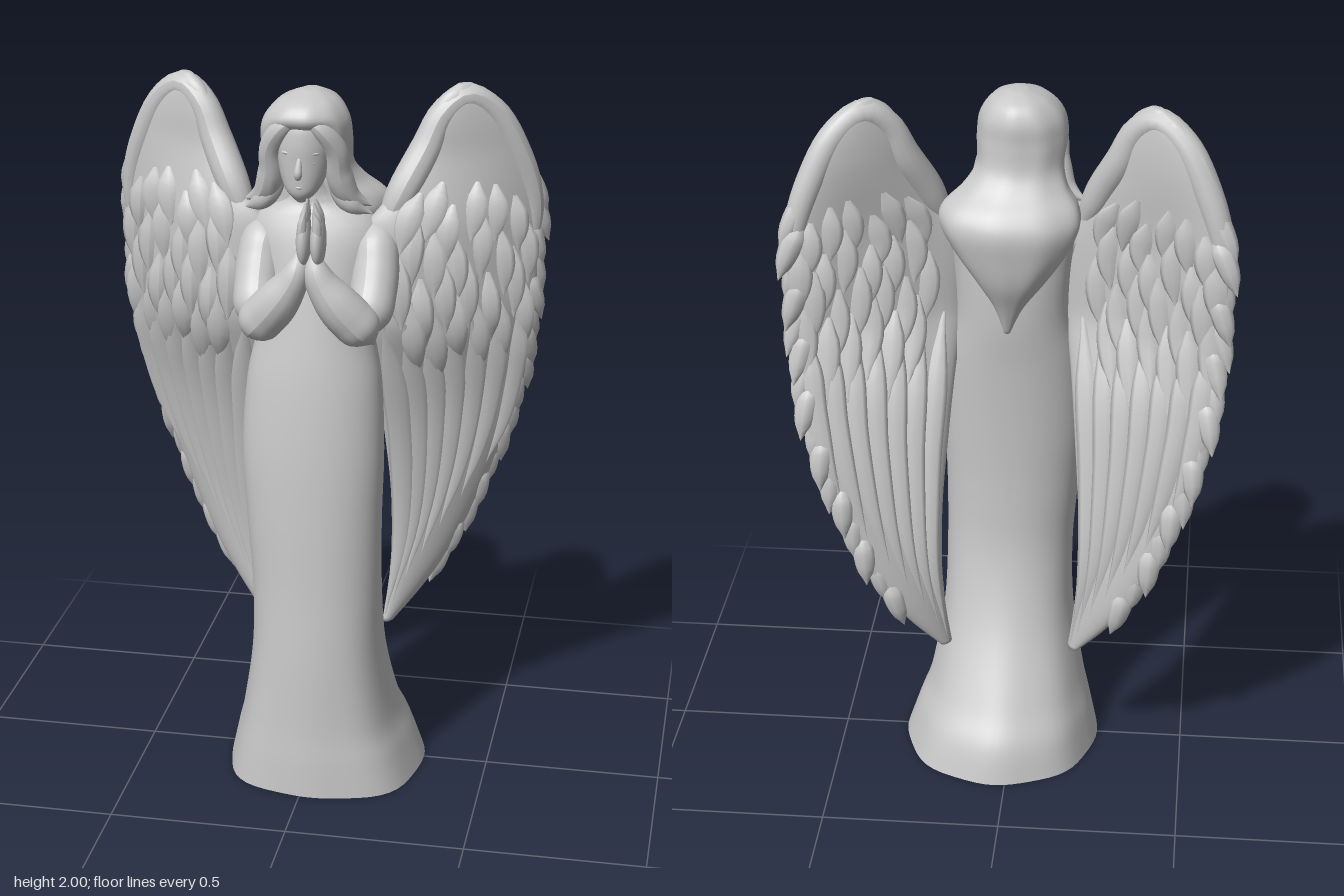
import * as THREE from 'three';
import { mergeGeometries, toCreasedNormals } from 'three/addons/utils/BufferGeometryUtils.js';

const { lerp, clamp, smoothstep } = THREE.MathUtils;
const V = (x, y, z) => new THREE.Vector3(x, y, z);
const stone = new THREE.MeshStandardMaterial({ color: 0xc8c8c8 });
stone.name = 'pale stone';

// Smooth value of an evenly spaced list at t in 0..1
function spline(list, t) {
  const f = t * (list.length - 1), i = Math.min(Math.floor(f), list.length - 2), u = f - i;
  const p = k => list[clamp(k, 0, list.length - 1)];
  const a = p(i - 1), b = p(i), c = p(i + 1), d = p(i + 2);
  return b + 0.5 * u * (c - a + u * (2 * a - 5 * b + 4 * c - d + u * (3 * (b - c) + d - a)));
}

// Capped skin over rows of [y, centre x, centre z, radius x, radius z]
function loft(rows, { steps = 60, sides = 48, power = 2, shape = () => 1, bend = () => 0 } = {}) {
  const pos = [], index = [];
  for (let i = 0; i <= steps; i++) {
    const [y, cx, cz, rx, rz] = rows[0].map((_, k) => spline(rows.map(r => r[k]), i / steps));
    for (let j = 0; j < sides; j++) {
      const a = j / sides * Math.PI * 2, c = Math.cos(a), s = Math.sin(a);
      const k = shape(a, y) / Math.pow(Math.abs(c) ** power + Math.abs(s) ** power, 1 / power);
      const x = cx + rx * c * k, z = cz + rz * s * k;
      pos.push(x, y, z + bend(x, y));
      if (i < steps) {
        const p = i * sides + j, q = i * sides + (j + 1) % sides;
        index.push(p, p + sides, q, q, p + sides, q + sides);
      }
    }
  }
  for (const [i, row] of [[0, rows[0]], [steps, rows[rows.length - 1]]]) {
    const c = pos.length / 3;
    pos.push(row[1], row[0], row[2] + bend(row[1], row[0]));
    for (let j = 0; j < sides; j++) {
      const p = i * sides + j, q = i * sides + (j + 1) % sides;
      if (i) index.push(c, q, p); else index.push(c, p, q);
    }
  }
  const g = new THREE.BufferGeometry();
  g.setAttribute('position', new THREE.Float32BufferAttribute(pos, 3));
  g.setIndex(index);
  g.computeVertexNormals();
  return g;
}

// Tapered tube along a path; flat squeezes it in z
function strand(points, radii, { steps = 20, sides = 14, flat = 1 } = {}) {
  const curve = new THREE.CatmullRomCurve3(points);
  const g = new THREE.TubeGeometry(curve, steps, 1, sides);
  const pos = g.attributes.position, v = V();
  for (let i = 0; i <= steps; i++) {
    const c = curve.getPointAt(i / steps), r = Math.max(0.0005, spline(radii, i / steps));
    for (let j = 0; j <= sides; j++) {
      const k = i * (sides + 1) + j;
      v.fromBufferAttribute(pos, k).sub(c).multiplyScalar(r);
      pos.setXYZ(k, c.x + v.x, c.y + v.y, c.z + v.z * flat);
    }
  }
  g.computeVertexNormals();
  return g;
}

function mirror(geometry) {
  const g = geometry.clone().scale(-1, 1, 1), ix = g.index.array;
  for (let i = 0; i < ix.length; i += 3) [ix[i], ix[i + 1]] = [ix[i + 1], ix[i]];
  return g;
}

const ball = (x, y, z, rx, ry, rz) => new THREE.SphereGeometry(1, 28, 20).scale(rx, ry, rz).translate(x, y, z);

// Wing outline: [y, inner x, outer x, half thickness]
const WING = [[0.375, 0.168, 0.2, 0.02], [0.48, 0.182, 0.285, 0.034], [0.6, 0.192, 0.36, 0.042],
  [0.8, 0.192, 0.45, 0.046], [1.0, 0.178, 0.52, 0.05], [1.2, 0.16, 0.567, 0.054], [1.4, 0.135, 0.583, 0.057],
  [1.6, 0.13, 0.59, 0.057], [1.7, 0.19, 0.582, 0.054], [1.8, 0.255, 0.555, 0.05], [1.9, 0.285, 0.51, 0.047],
  [1.97, 0.325, 0.45, 0.036], [2.0, 0.365, 0.4, 0.014]];
// Wings sweep back outward, swell forward at mid height and drift back toward the tip
const wingZ = (x, y) => -0.088 - 0.53 * (x - 0.4)
  - 0.155 * Math.sin(Math.PI / 2 * clamp((1.35 - y) / 0.95, 0, 1))
  + 0.03 * smoothstep(y, 1.1, 1.4) * (1 - smoothstep(y, 1.6, 1.85)) * (1 - smoothstep(x, 0.38, 0.58)) * smoothstep(x, 0.12, 0.25);
function wingAt(y) {
  const i = clamp(WING.findIndex(r => r[0] >= y), 1, WING.length - 1), a = WING[i - 1], b = WING[i];
  const t = clamp((y - a[0]) / (b[0] - a[0]), 0, 1);
  return a.map((v, k) => lerp(v, b[k], t));
}
// Point on a wing face: f runs from inner to outer edge, side is front (1) or back (-1)
function wingPoint(f, y, side) {
  const [, a, b, t] = wingAt(y), x = lerp(a, b, f), u = clamp(2 * f - 1, -1, 1);
  return V(x, y, wingZ(x, y) + side * t * Math.sqrt(1 - u * u));
}

function wingParts() {
  const blade = loft(WING.map(([y, a, b, t]) => [y, (a + b) / 2, 0, (b - a) / 2, t]), { steps: 72, sides: 40, bend: wingZ });
  const ridge = strand([[0.17, 1.58], [0.235, 1.72], [0.29, 1.83], [0.33, 1.92], [0.388, 1.963], [0.455, 1.92], [0.52, 1.8], [0.565, 1.66], [0.57, 1.5]]
    .map(([x, y]) => V(x, y, wingZ(x, y))), [0.01, 0.042, 0.046, 0.04, 0.037, 0.04, 0.038, 0.028, 0.006], { steps: 40 });
  const coverts = [], flight = [], edge = [], small = { steps: 8, sides: 8, flat: 0.35 };
  for (const side of [1, -1]) {
    // Short overlapping feathers in staggered rows
    for (let row = 0; row < 4; row++) for (let i = 0; i < 6; i++) {
      const f = 0.22 + (i + (row % 2) * 0.5) * 0.125, y = 1.72 - row * 0.1 + 0.035 * Math.sin(i * 2.3 + row), len = 0.16 + 0.025 * row;
      coverts.push(strand([0, 0.5, 1].map(t => {
        const p = wingPoint(f + 0.05 * t * f, y - len * t, side);
        p.z += side * 0.005 * t;
        return p;
      }), [0.008, 0.032, 0.036, 0.024, 0.001], small));
    }
    // Long feathers sweeping down to the tip
    for (let i = 0; i < 7; i++) {
      const f = 0.12 + i * 0.13, end = lerp(0.4, 0.86, (i / 6) ** 1.3);
      flight.push(strand([0, 0.25, 0.5, 0.75, 1].map(t => wingPoint(f + 0.03 * t, lerp(1.36, end, t), side)),
        [0.005, 0.035, 0.034, 0.03, 0.019, 0.001], { steps: 18, sides: 8, flat: 0.35 }));
    }
  }
  // Feather tips breaking up the outer edge
  for (let i = 0; i < 16; i++) {
    const y = 1.77 - i * 0.076, out = 0.016 + 0.007 * Math.sin(i * 2.1);
    edge.push(strand([0, 0.5, 1].map(t => {
      const yy = y - 0.16 * t, x = wingAt(yy)[2] - 0.04 + (0.04 + out) * t;
      return V(x, yy, wingZ(x, yy) - 0.006 - 0.012 * (i % 2));
    }), [0.008, 0.03, 0.03, 0.022, 0.001], { ...small, flat: 0.8 }));
  }
  return { Blade: blade, Ridge: ridge, Coverts: mergeGeometries(coverts),
    FlightFeathers: mergeGeometries(flight), EdgeFeathers: mergeGeometries(edge) };
}

export function createModel() {
  const model = new THREE.Group();
  model.name = 'winged figure';
  const group = (name, parent, x = 0) => {
    const g = new THREE.Group();
    g.name = name;
    g.position.x = x;
    parent.add(g);
    return g;
  };
  const add = (name, geometry, parent = model) => {
    const m = new THREE.Mesh(geometry, stone);
    m.name = name;
    parent.add(m);
  };
  const pair = (name, geometry, parent) => {
    add('left' + name, geometry, parent);
    add('right' + name, mirror(geometry), parent);
  };

  // Gown with a flared hem, squarer in front, and a short train
  add('gown', toCreasedNormals(loft([[0, 0.032, 0, 0.284, 0.303], [0.1, 0.026, 0.012, 0.255, 0.286], [0.2, 0.02, 0.04, 0.224, 0.25],
    [0.4, 0.02, 0.09, 0.19, 0.19], [0.6, 0.018, 0.113, 0.183, 0.152], [0.8, 0.01, 0.113, 0.19, 0.14],
    [1.0, 0.005, 0.103, 0.198, 0.135], [1.2, 0.005, 0.085, 0.187, 0.13], [1.35, 0.005, 0.065, 0.16, 0.125],
    [1.5, 0.004, 0.05, 0.165, 0.112], [1.6, 0.003, 0.042, 0.178, 0.095], [1.66, 0, 0.038, 0.15, 0.075],
    [1.7, -0.006, 0.04, 0.07, 0.055], [1.76, -0.018, 0.05, 0.048, 0.048], [1.82, -0.02, 0.06, 0.045, 0.045]],
  { steps: 84, sides: 64, power: 2.1,
    shape: (a, y) => 1 + (1 - smoothstep(y, 0, 0.7)) * (0.012 * Math.cos(a * 8) - 0.012 + (Math.sin(a) > 0 ? 0.07 * Math.sin(2 * a) ** 2 : 0)) }), 0.9));

  // Head, bowed slightly forward
  const head = group('head', model);
  add('face', loft([[1.71, -0.022, 0.128, 0.012, 0.014], [1.735, -0.022, 0.118, 0.04, 0.042], [1.77, -0.021, 0.105, 0.059, 0.06],
    [1.82, -0.02, 0.098, 0.071, 0.07], [1.87, -0.018, 0.094, 0.074, 0.076], [1.92, -0.016, 0.09, 0.063, 0.072], [1.95, -0.015, 0.09, 0.03, 0.04]],
  { steps: 30, sides: 36 }), head);
  add('nose', strand([V(-0.02, 1.85, 0.16), V(-0.022, 1.81, 0.17), V(-0.023, 1.788, 0.171), V(-0.023, 1.775, 0.15)],
    [0.003, 0.008, 0.011, 0.002]), head);
  add('lips', ball(-0.022, 1.755, 0.156, 0.015, 0.006, 0.009), head);
  for (const s of [-1, 1]) {
    add(s > 0 ? 'leftEyelid' : 'rightEyelid', ball(-0.02 + s * 0.029, 1.822, 0.148, 0.016, 0.007, 0.012), head);
    add(s > 0 ? 'leftBrow' : 'rightBrow', ball(-0.02 + s * 0.03, 1.848, 0.148, 0.022, 0.007, 0.014), head);
  }

  // Hair: cap over the skull and a full mass tapering to a point down the back
  add('hair', loft([[1.34, 0.01, -0.075, 0.008, 0.008], [1.42, 0.005, -0.08, 0.04, 0.035], [1.5, 0, -0.08, 0.095, 0.07], [1.58, 0, -0.07, 0.152, 0.096],
    [1.65, 0.003, -0.052, 0.188, 0.12], [1.7, 0.003, -0.04, 0.183, 0.11], [1.75, -0.008, -0.013, 0.14, 0.09], [1.8, -0.018, 0.02, 0.118, 0.095],
    [1.87, -0.022, 0.05, 0.123, 0.117], [1.93, -0.02, 0.057, 0.113, 0.122], [1.975, -0.015, 0.054, 0.077, 0.095], [2.0, -0.01, 0.045, 0.022, 0.028]],
  { power: 2.15, shape: (a, y) => 1 + 0.012 * Math.cos(a * 9)
    - 0.3 * smoothstep(Math.sin(a), 0.55, 0.95) * smoothstep(y, 1.74, 1.8) * (1 - smoothstep(y, 1.88, 1.94)) }), head);
  const locks = group('sideLocks', head, -0.02);
  pair('FrontLock', strand([V(0.002, 1.945, 0.145), V(0.053, 1.91, 0.14), V(0.087, 1.85, 0.112), V(0.092, 1.78, 0.088),
    V(0.117, 1.715, 0.068), V(0.175, 1.685, 0.045)], [0.014, 0.026, 0.031, 0.034, 0.037, 0.028, 0.003], { steps: 30 }), locks);
  pair('InnerLock', strand([V(0.085, 1.81, 0.075), V(0.087, 1.74, 0.07), V(0.125, 1.69, 0.07), V(0.175, 1.665, 0.055)],
    [0.01, 0.026, 0.028, 0.003]), locks);

  // Folded arms meeting at the wrists
  const arms = group('arms', model, 0.014);
  pair('UpperArm', strand([V(0.11, 1.65, 0.035), V(0.15, 1.59, 0.058), V(0.16, 1.49, 0.11), V(0.152, 1.395, 0.175), V(0.14, 1.345, 0.2)],
    [0.004, 0.056, 0.064, 0.064, 0.058, 0.004], { steps: 30, sides: 20 }), arms);
  pair('Forearm', strand([V(0.175, 1.34, 0.185), V(0.148, 1.38, 0.205), V(0.085, 1.455, 0.23), V(0.035, 1.53, 0.243), V(0.022, 1.575, 0.244), V(0.022, 1.62, 0.244)],
    [0.004, 0.056, 0.062, 0.058, 0.046, 0.032, 0.004], { steps: 36, sides: 20 }), arms);

  // Hands pressed together, fingers up
  const hands = group('hands', arms, 0.012);
  pair('Palm', ball(0.019, 1.635, 0.242, 0.021, 0.07, 0.041), hands);
  for (let i = 0; i < 4; i++) {
    const z = 0.216 + i * 0.017, top = 1.75 - 0.007 * (i - 1) ** 2;
    pair('Finger' + (i + 1), strand([V(0.021, 1.63, z), V(0.019, 1.69, z), V(0.01, top, z + 0.004)],
      [0.009, 0.0125, 0.0115, 0.003], { steps: 12, sides: 10 }), hands);
  }
  pair('Thumb', strand([V(0.021, 1.6, 0.225), V(0.021, 1.65, 0.204), V(0.014, 1.705, 0.195)], [0.01, 0.013, 0.011, 0.002], { steps: 12, sides: 10 }), hands);

  // Wings
  const wings = group('wings', model);
  for (const [name, geometry] of Object.entries(wingParts())) pair('Wing' + name, geometry, wings);

  return model;
}
